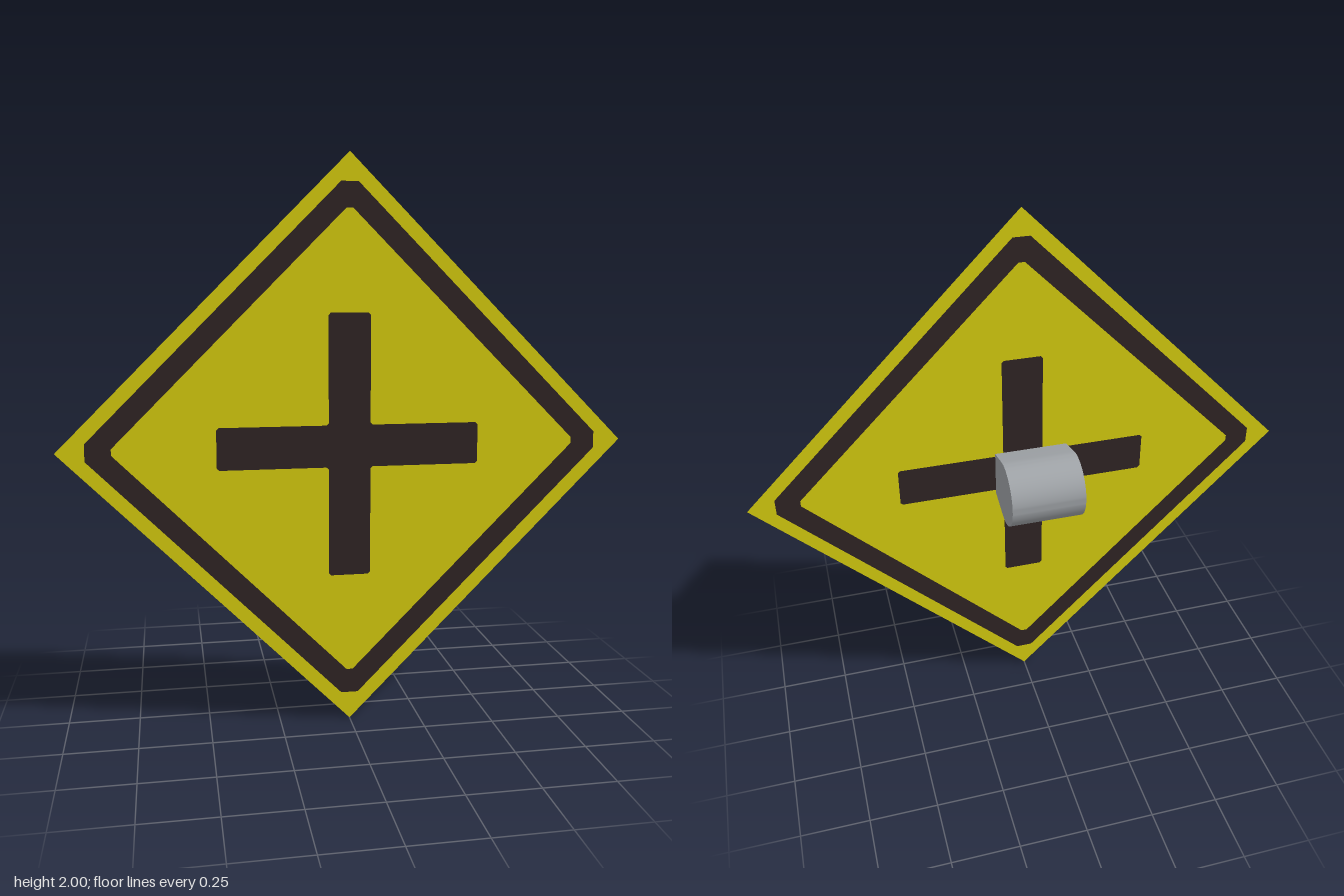
import * as THREE from 'three';
import { toCreasedNormals } from 'three/addons/utils/BufferGeometryUtils.js';

const SIGN_Z = 0.127;

const yellow = new THREE.MeshStandardMaterial({ color: 0xd9cf0f, side: THREE.DoubleSide });
yellow.name = 'signYellow';
const black = new THREE.MeshStandardMaterial({ color: 0x302525, side: THREE.DoubleSide });
black.name = 'signBlack';
const grey = new THREE.MeshStandardMaterial({ color: 0xa0a4a8 });
grey.name = 'clampGrey';

// Corner points of a diamond |x| + |y| = size with its tips cut off at `tip`
function diamond(size, tip = size) {
  const c = size - tip;
  const quarter = c > 0 ? [[tip, -c], [tip, c]] : [[tip, 0]];
  const points = [];
  for (let i = 0; i < 4; i++) {
    for (const [x, y] of quarter) {
      points.push(new THREE.Vector2(x, y).rotateAround(new THREE.Vector2(), i * Math.PI / 2));
    }
  }
  return points;
}

// Plus shape with slightly chamfered ends and inner corners
function cross(length, half, chamfer) {
  const points = [];
  const arm = [
    [half + chamfer, -half], [length - chamfer, -half], [length, -half + chamfer],
    [length, half - chamfer], [length - chamfer, half], [half + chamfer, half],
  ];
  for (let i = 0; i < 4; i++) {
    for (const [x, y] of arm) {
      points.push(new THREE.Vector2(x, y).rotateAround(new THREE.Vector2(), i * Math.PI / 2));
    }
  }
  return points;
}

// Flat piece of the sign sheet, with an optional opening
function sheet(name, outline, hole, material) {
  const shape = new THREE.Shape(outline);
  if (hole) shape.holes.push(new THREE.Path(hole));
  const mesh = new THREE.Mesh(new THREE.ShapeGeometry(shape), material);
  mesh.name = name;
  return mesh;
}

export function createModel() {
  const model = new THREE.Group();
  model.name = 'crossroadsSign';

  // Thin sign sheet, its coloured areas fitted into each other
  const panel = new THREE.Group();
  panel.name = 'signPanel';
  panel.position.set(0, 1, SIGN_Z);
  const outer = diamond(0.932, 0.902);
  const inner = diamond(0.826, 0.815);
  const plus = cross(0.463, 0.074, 0.008);
  panel.add(
    sheet('outerRim', diamond(1), outer, yellow),
    sheet('blackBorder', outer, inner, black),
    sheet('signField', inner, plus, yellow),
    sheet('crossSymbol', plus, null, black),
  );
  model.add(panel);

  // Rounded mounting clamp behind the sheet, its profile swept along x
  const profile = new THREE.Shape();
  profile.moveTo(-SIGN_Z + 0.002, -0.0875);
  profile.lineTo(-0.03, -0.114);
  profile.lineTo(0, -0.12);
  profile.absellipse(0, 0, 0.127, 0.12, -Math.PI / 2, Math.PI / 2, false, 0);
  profile.lineTo(-0.03, 0.114);
  profile.lineTo(-SIGN_Z + 0.002, 0.0875);
  profile.closePath();
  const sweep = new THREE.ExtrudeGeometry(profile, { depth: 0.27, bevelEnabled: false, curveSegments: 20 });
  sweep.rotateY(Math.PI / 2);
  const clamp = new THREE.Mesh(toCreasedNormals(sweep, 0.6), grey);
  clamp.name = 'mountingClamp';
  clamp.position.set(-0.165, 1, 0);
  model.add(clamp);

  return model;
}
